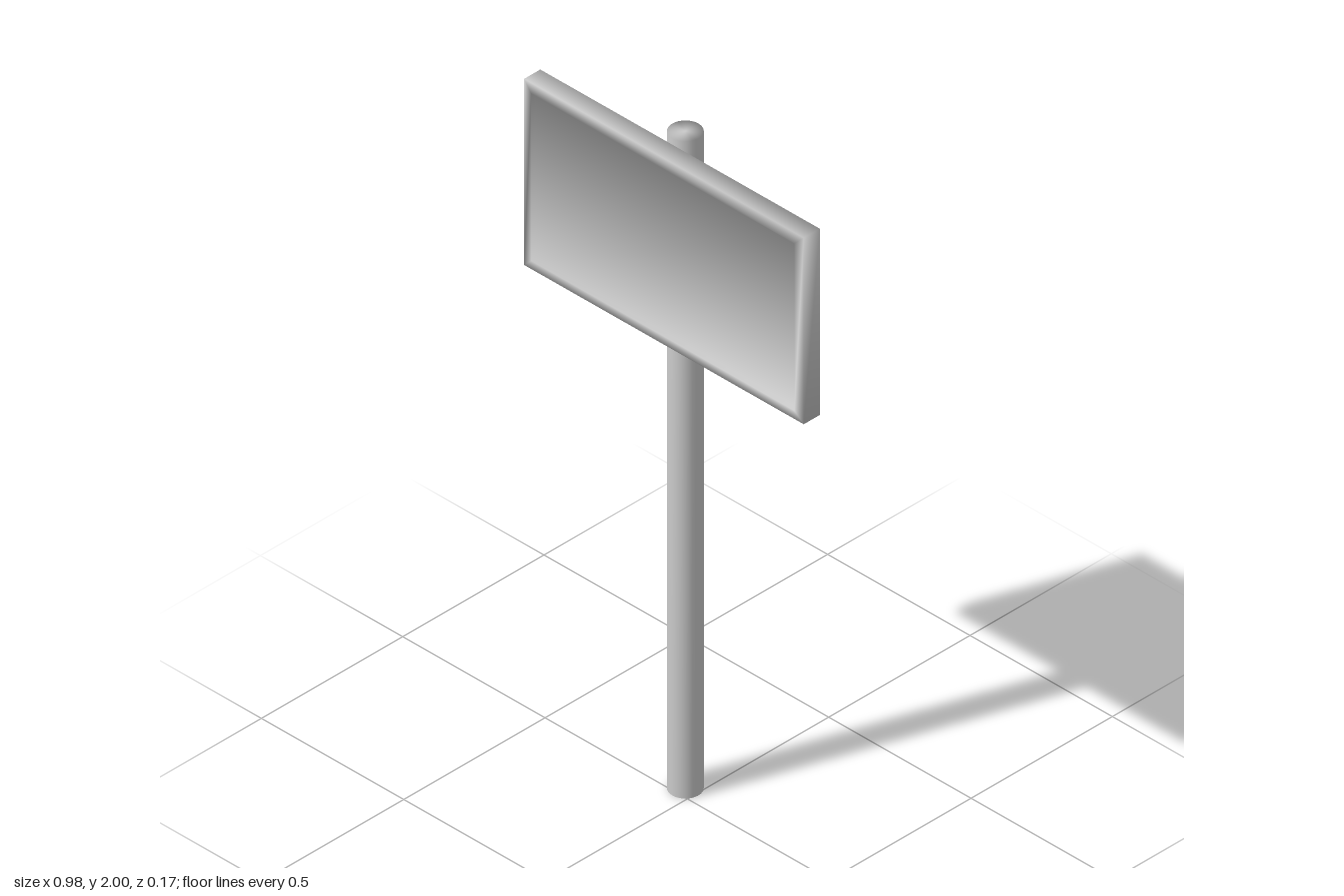
import * as THREE from 'three';

const POLE_X = -0.037, POLE_Z = -0.03;

// Rectangular tray swept from a profile of [inset, z] points, front centre to back centre,
// with normals averaged across the corners for a soft shaded look
function trayGeometry(halfWidth, halfHeight, profile) {
  const positions = [], normals = [], index = [];
  const corners = [[-1, -1], [1, -1], [1, 1], [-1, 1]];
  const last = profile.length - 1;
  const direction = (i) => {
    if (i < 0) return new THREE.Vector2(0, 1);
    if (i >= last) return new THREE.Vector2(0, -1);
    const out = profile[i][0] - profile[i + 1][0], dz = profile[i + 1][1] - profile[i][1];
    return new THREE.Vector2(-dz, out).normalize();
  };
  profile.forEach(([inset, z], i) => {
    const n = direction(i - 1).add(direction(i));
    for (const [sx, sy] of corners) {
      positions.push(sx * (halfWidth - inset), sy * (halfHeight - inset), z);
      normals.push(...new THREE.Vector3(sx * n.x, sy * n.x, n.y).normalize().toArray());
    }
    if (i === last) return;
    for (let j = 0; j < 4; j++) {
      const a = i * 4 + j, b = i * 4 + (j + 1) % 4;
      index.push(a, a + 4, b + 4, a, b + 4, b);
    }
  });
  const k = last * 4;
  index.push(0, 1, 2, 0, 2, 3, k, k + 2, k + 1, k, k + 3, k + 2);
  const geometry = new THREE.BufferGeometry();
  geometry.setAttribute('position', new THREE.Float32BufferAttribute(positions, 3));
  geometry.setAttribute('normal', new THREE.Float32BufferAttribute(normals, 3));
  geometry.setIndex(index);
  return geometry;
}

export function createModel() {
  const group = new THREE.Group();
  const material = new THREE.MeshStandardMaterial({ color: 0xcccccc });
  const add = (name, geometry, x, y, z, parent = group) => {
    const mesh = new THREE.Mesh(geometry, material);
    mesh.name = name;
    mesh.position.set(x, y, z);
    parent.add(mesh);
    return mesh;
  };

  // Round post with softly shaded ends
  const r = 0.046;
  const poleProfile = [[0, 0], [r, 0], [r, 2], [0, 2]].map(([x, y]) => new THREE.Vector2(x, y));
  add('pole', new THREE.LatheGeometry(poleProfile, 32), POLE_X, 0, POLE_Z);

  // Sign board: sloping front rim, panels sunk into the front and the back
  const rim = 0.029;
  add('signBoard', trayGeometry(0.491, 0.2835, [
    [rim, 0.072], [rim, 0.087], [0, 0.083], [0, 0.026], [rim, 0.026], [rim, 0.038],
  ]), 0, 1.7075, 0);

  // Arched clamp strap, drawn from above and extruded upward
  const height = 0.017;
  const strap = new THREE.Shape();
  strap.absellipse(0, 0, 0.066, 0.112, 0, Math.PI, false);
  strap.absellipse(0, 0, 0.059, 0.101, Math.PI, 0, true);
  strap.closePath();
  const strapGeometry = new THREE.ExtrudeGeometry(strap, { depth: height, bevelEnabled: false, curveSegments: 20 });
  strapGeometry.rotateX(-Math.PI / 2);
  strapGeometry.translate(0, -height / 2, 0);

  // Two clamps, each with a pair of feet and bolts
  for (const y of [1.517, 1.797]) {
    const clamp = new THREE.Group();
    clamp.name = 'clamp';
    clamp.position.set(POLE_X, y, 0.026);
    group.add(clamp);
    add('strap', strapGeometry, 0, 0, 0, clamp);
    for (const side of [-1, 1]) {
      add('foot', new THREE.BoxGeometry(0.03, height, 0.003), side * 0.075, 0, -0.0015, clamp);
      const bolt = add('bolt', new THREE.CylinderGeometry(0.01, 0.01, 0.005, 12), side * 0.08, 0, -0.0025, clamp);
      bolt.rotation.x = Math.PI / 2;
    }
  }
  return group;
}
